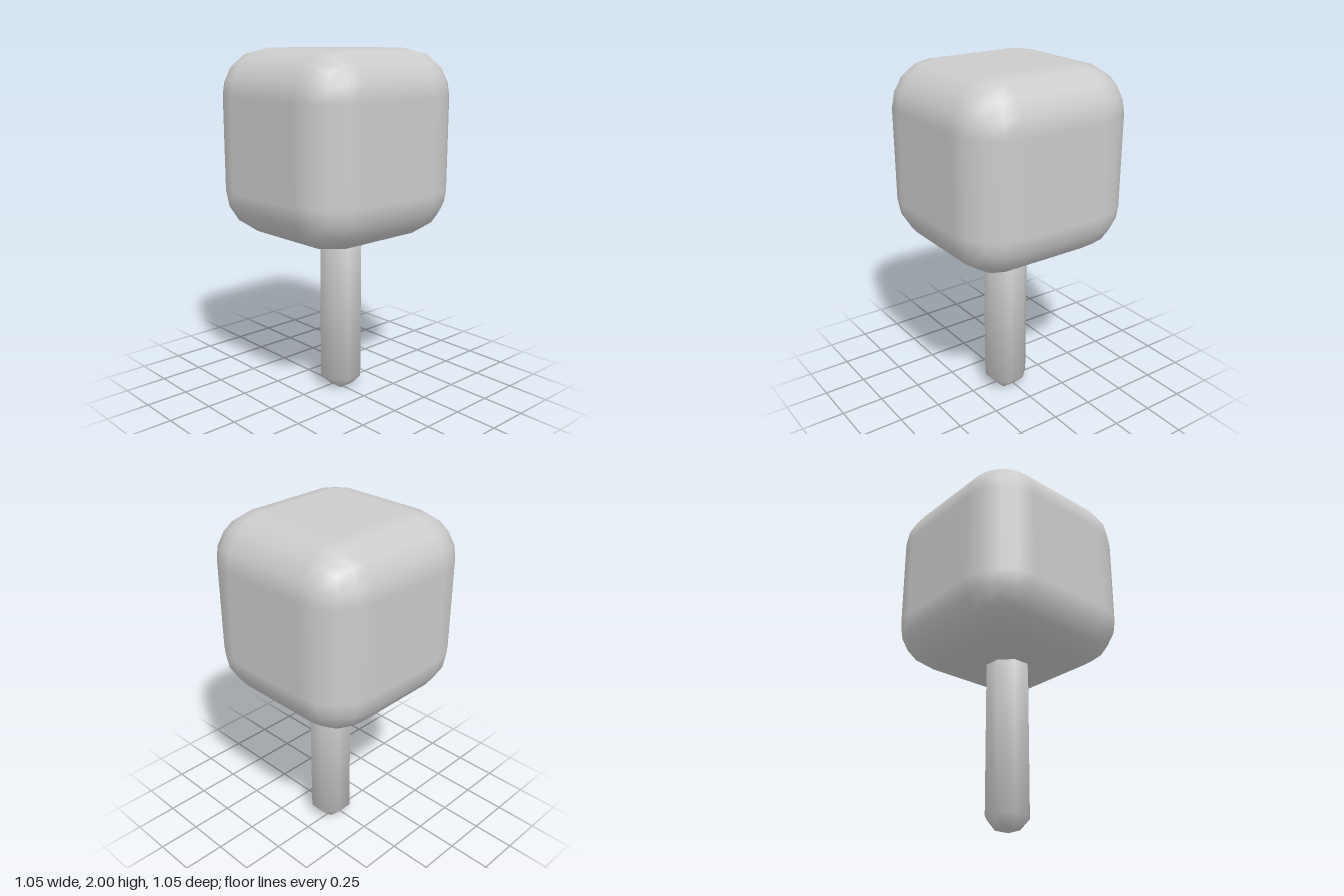
import * as THREE from 'three';
import { ConvexGeometry } from 'three/addons/geometries/ConvexGeometry.js';

// Cube with rounded edges: each quarter arc has four equal steps.
function roundedCube(half, radius) {
  const geo = new THREE.BoxGeometry(2, 2, 2, 5, 5, 5);
  const pos = geo.attributes.position, nor = geo.attributes.normal;
  const core = half - radius;
  const dir = new THREE.Vector3();
  const warp = c => Math.sign(c) * Math.tan(Math.PI / 4 * (Math.abs(c) - 0.2) / 0.8);
  for (let i = 0; i < pos.count; i++) {
    const p = [pos.getX(i), pos.getY(i), pos.getZ(i)];
    dir.set(...p.map(warp)).normalize();
    const d = dir.toArray();
    pos.setXYZ(i, ...p.map((c, k) => Math.sign(c) * core + d[k] * radius));
    nor.setXYZ(i, dir.x, dir.y, dir.z);
  }
  return geo;
}

// Box with single-step chamfers on all edges and softened normals.
function chamferedBox(hx, hy, hz, chamfer) {
  const half = [hx, hy, hz];
  const points = [];
  for (const sx of [-1, 1]) for (const sy of [-1, 1]) for (const sz of [-1, 1]) {
    for (let axis = 0; axis < 3; axis++) {
      const c = [sx, sy, sz].map((s, k) => s * (half[k] - (k === axis ? 0 : chamfer)));
      points.push(new THREE.Vector3(...c));
    }
  }
  const geo = new ConvexGeometry(points);
  const pos = geo.attributes.position, nor = geo.attributes.normal;
  const n = new THREE.Vector3();
  for (let i = 0; i < pos.count; i++) {
    const p = [pos.getX(i), pos.getY(i), pos.getZ(i)];
    n.set(...p.map((c, k) => Math.sign(c) * (Math.abs(c) > half[k] - 1e-4 ? 1 : 0.43))).normalize();
    nor.setXYZ(i, n.x, n.y, n.z);
  }
  return geo;
}

export function createModel() {
  const group = new THREE.Group();
  const material = new THREE.MeshStandardMaterial({ color: 0xcccccc });

  // Rounded block on top
  const head = new THREE.Mesh(roundedCube(0.526, 0.263), material);
  head.name = 'head';
  head.position.y = 2 - 0.526;

  // Eight-sided handle, slightly off centre, its top sunk into the head
  const handle = new THREE.Mesh(chamferedBox(0.119, 0.6, 0.119, 0.071), material);
  handle.name = 'handle';
  handle.position.set(0.024, 0.6, -0.024);

  group.add(head, handle);
  return group;
}
